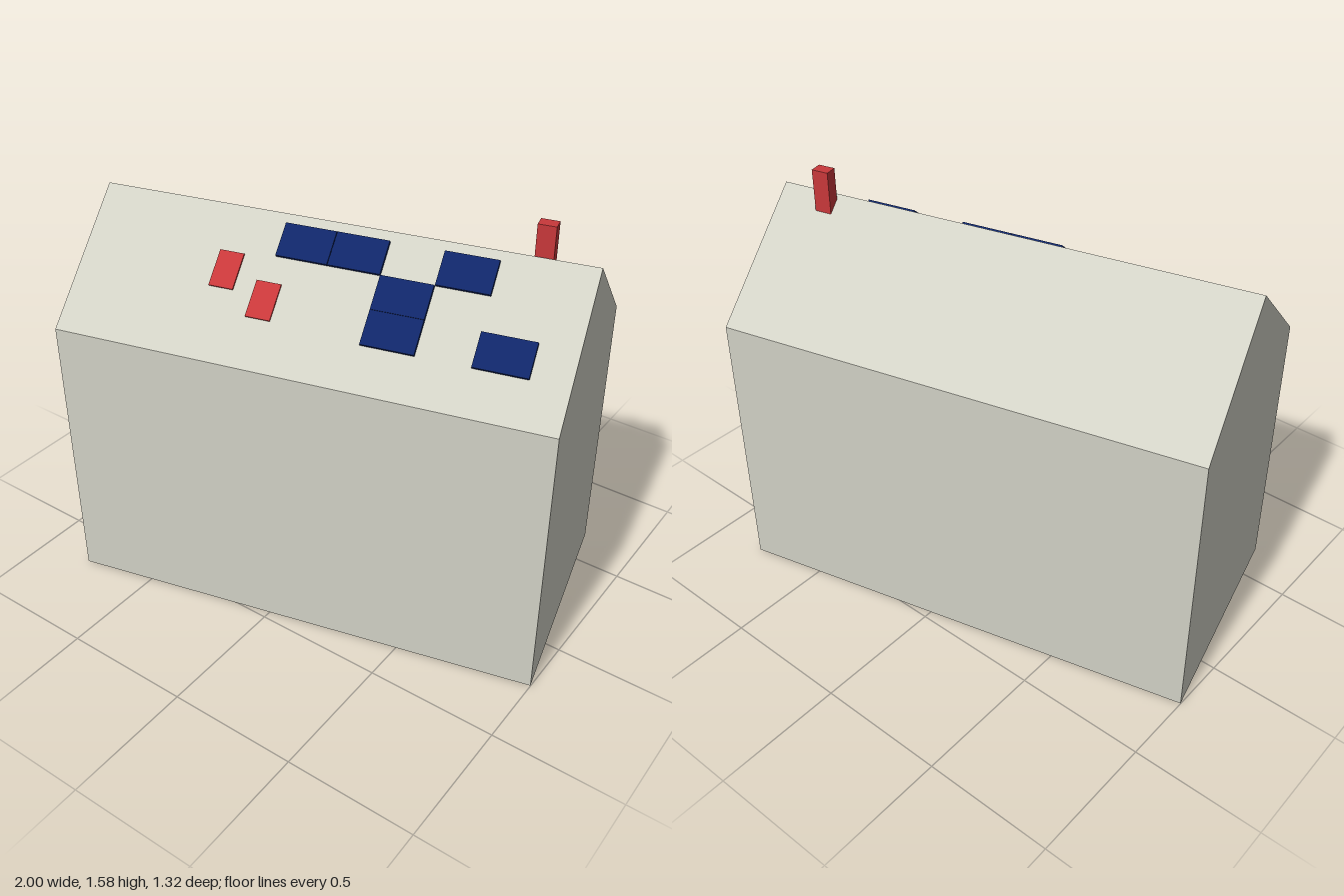
import * as THREE from 'three';

const LENGTH = 1.834, HALF_DEPTH = 0.4535, EAVE = 1.09, RIDGE = 1.47;
const SLOPE = Math.atan2(RIDGE - EAVE, HALF_DEPTH);

const makeMaterial = (name, color) => {
  const m = new THREE.MeshStandardMaterial({ color });
  m.name = name;
  return m;
};

export function createModel() {
  const plaster = makeMaterial('warm grey plaster', 0xd1d1c5);
  const brick = makeMaterial('brick red', 0xc8383a);
  const solar = makeMaterial('solar blue', 0x0f2668);

  const model = new THREE.Group();
  model.name = 'house';
  model.rotation.y = 0.2425; // the house stands at an angle to the axes

  const addBox = (parent, name, material, size, position) => {
    const mesh = new THREE.Mesh(new THREE.BoxGeometry(...size), material);
    mesh.name = name;
    mesh.position.set(...position);
    parent.add(mesh);
  };

  // Walls and gabled roof as one extruded gable profile
  const gable = new THREE.Shape([
    [-HALF_DEPTH, 0], [HALF_DEPTH, 0], [HALF_DEPTH, EAVE], [0, RIDGE], [-HALF_DEPTH, EAVE],
  ].map(([x, y]) => new THREE.Vector2(x, y)));
  const bodyGeometry = new THREE.ExtrudeGeometry(gable, { depth: LENGTH, bevelEnabled: false });
  bodyGeometry.translate(0, 0, -LENGTH / 2).rotateY(Math.PI / 2);
  const body = new THREE.Mesh(bodyGeometry, plaster);
  body.name = 'houseBody';
  model.add(body);

  // Chimney just behind the ridge, sunk into the roof
  addBox(model, 'chimney', brick, [0.065, 0.2, 0.047], [0.719, 1.48, -0.039]);

  // Front roof slope frame: x along the ridge, z down the slope, y outwards
  const slope = new THREE.Group();
  slope.name = 'frontRoofSlope';
  slope.position.y = RIDGE;
  slope.rotation.x = SLOPE;
  model.add(slope);

  // Solar panels on a regular grid: [column, row]
  const t = 0.012;
  for (const [col, row] of [[0, 0], [1, 0], [3, 0], [2, 1], [2, 2], [4, 2]]) {
    addBox(slope, 'solarPanel', solar, [0.192, t, 0.127],
      [-0.093 + col * 0.194, t / 2, 0.103 + row * 0.128]);
  }

  // Two red roof hatches
  for (const [x, z] of [[-0.352, 0.249], [-0.183, 0.335]]) {
    addBox(slope, 'roofHatch', brick, [0.093, 0.006, 0.138], [x, 0.003, z]);
  }

  const root = new THREE.Group();
  root.add(model);
  return root;
}
